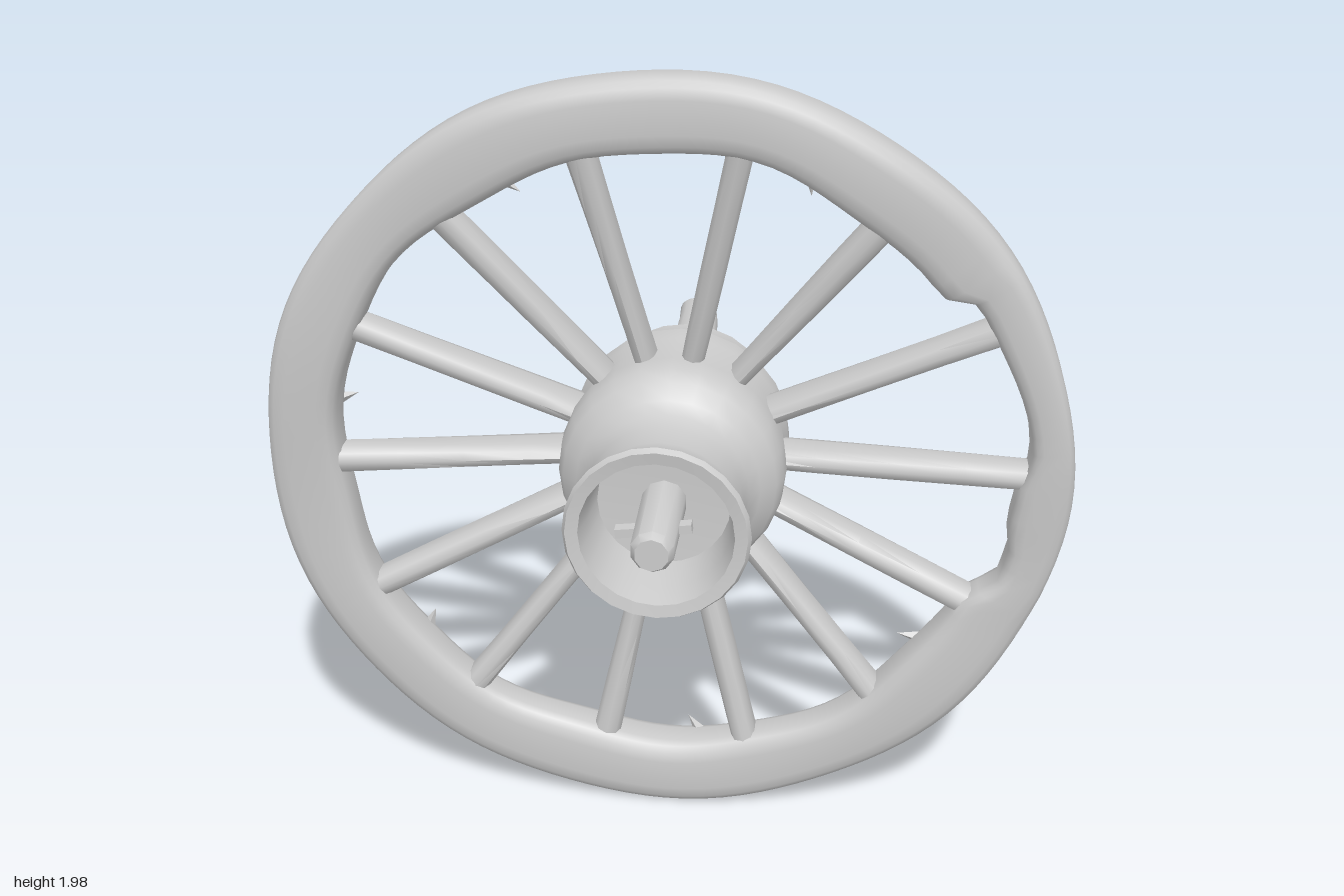
import * as THREE from 'three';
import { mergeVertices, toCreasedNormals } from 'three/addons/utils/BufferGeometryUtils.js';

const mat = new THREE.MeshStandardMaterial({ color: 0xcccccc, side: THREE.DoubleSide });
const rad = THREE.MathUtils.degToRad;
const smooth = THREE.MathUtils.smoothstep;

// Skin a row of rings; each ring runs counter-clockwise about the travel direction.
function loft(rings, closed = false) {
  const n = rings[0].length, m = rings.length;
  const pos = rings.flat().flatMap(p => [p.x, p.y, p.z]);
  const idx = [];
  for (let i = 0; i < (closed ? m : m - 1); i++) {
    const k = (i + 1) % m;
    for (let j = 0; j < n; j++) {
      const l = (j + 1) % n;
      const a = i * n + j, b = i * n + l, c = k * n + l, d = k * n + j;
      idx.push(a, b, c, a, c, d);
    }
  }
  if (!closed) {
    const e = (m - 1) * n;
    for (let j = 1; j < n - 1; j++) idx.push(0, j + 1, j, e, e + j, e + j + 1);
  }
  const g = new THREE.BufferGeometry();
  g.setAttribute('position', new THREE.Float32BufferAttribute(pos, 3));
  g.setIndex(idx);
  return g;
}

// Rounded-square outline with half sizes u and v
function section(u, v, n, power) {
  return Array.from({ length: n }, (_, j) => {
    const t = (j + 0.5) / n * Math.PI * 2, c = Math.cos(t), s = Math.sin(t);
    return [u * Math.sign(c) * Math.abs(c) ** power, v * Math.sign(s) * Math.abs(s) ** power];
  });
}

// Lumpy inner edge of the rim, worn thin on the +x side
function innerRadius(deg) {
  const a = rad(deg);
  const d = ((deg + 180) % 360 + 360) % 360 - 180;
  const worn = smooth(d, -23, -19) * (1 - smooth(d, 32, 37));
  const tooth = smooth(d, -11, -8) * (1 - smooth(d, 0, 4));
  return 0.812 + 0.008 * Math.sin(5 * a + 1) + 0.006 * Math.sin(11 * a) + 0.065 * worn - 0.02 * tooth;
}

// The rim leans forward at the top
const rimZ = (a) => 0.275 + 0.045 * Math.sin(a);

export function createModel() {
  const wheel = new THREE.Group();
  wheel.name = 'wagonWheel';
  const add = (name, geo, crease = 0.7, parent = wheel) => {
    geo.deleteAttribute('uv');
    geo.deleteAttribute('normal');
    const mesh = new THREE.Mesh(toCreasedNormals(mergeVertices(geo), crease), mat);
    mesh.name = name;
    parent.add(mesh);
    return mesh;
  };

  // Rim
  const rimRings = [];
  const SEG = 120;
  for (let i = 0; i < SEG; i++) {
    const deg = i / SEG * 360, a = rad(deg);
    const inner = innerRadius(deg);
    const outer = 0.993 + 0.004 * Math.sin(9 * a + 2);
    const half = 0.065 + 0.004 * Math.sin(7 * a + 0.5);
    rimRings.push(section(half, (outer - inner) / 2, 16, 0.5).map(([z, r]) => {
      const R = (outer + inner) / 2 + r;
      return new THREE.Vector3(R * Math.cos(a), 1 + R * Math.sin(a), rimZ(a) + z);
    }));
  }
  add('rim', loft(rimRings, true), 0.9);

  // Fourteen dished spokes, deep at the hub and wide at the rim
  const spokes = new THREE.Group();
  spokes.name = 'spokes';
  wheel.add(spokes);
  for (let i = 0; i < 14; i++) {
    const deg = 1 + i * 360 / 14, a = rad(deg);
    const r0 = 0.18, r1 = innerRadius(deg) + 0.04;
    const rings = [];
    for (let k = 0; k <= 4; k++) {
      const t = k / 4;
      const zc = THREE.MathUtils.lerp(0.175, rimZ(a), t);
      const w = 0.026 + 0.009 * t + 0.002 * Math.sin(i * 2.3 + k);
      const d = 0.07 - 0.02 * t;
      rings.push(section(w, d, 10, 0.75).map(([y, z]) =>
        new THREE.Vector3(r0 + (r1 - r0) * t, y, zc + z)));
    }
    const g = loft(rings).rotateZ(a).translate(0.01, 1, 0);
    add('spoke', g, 0.9, spokes);
  }

  // Turned hub with a hollow front mouth
  const lathe = (points, sides) => new THREE.LatheGeometry(
    points.map(p => new THREE.Vector2(...p)), sides).rotateX(Math.PI / 2).translate(0.02, 0.995, 0);
  add('hub', lathe([
    [0, -0.1], [0.235, -0.1], [0.24, 0.01], [0.255, 0.035], [0.278, 0.045], [0.28, 0.11],
    [0.272, 0.16], [0.282, 0.25], [0.278, 0.31], [0.262, 0.35], [0.225, 0.38], [0.2, 0.41],
    [0.19, 0.46], [0.188, 0.54], [0.2, 0.6], [0.22, 0.635], [0.212, 0.65],
    [0.182, 0.645], [0.17, 0.58], [0.16, 0.47], [0, 0.46],
  ], 24), 0.6);

  // Axle collar and front axle end
  add('axleCollar', lathe([[0, -0.14], [0.118, -0.14], [0.122, -0.09], [0, -0.09]], 16));
  add('axleEnd', lathe([[0.055, 0.44], [0.052, 0.72], [0.04, 0.74], [0, 0.74]], 10));
  add('linchPin', new THREE.BoxGeometry(0.18, 0.022, 0.03).rotateZ(0.12).translate(0.01, 0.99, 0.6));

  // Rear axle arm: z, centre x, centre y, half width, half height
  const arm = [
    [-0.745, -0.005, 1.035, 0.04, 0.03], [-0.73, -0.005, 1.025, 0.053, 0.042],
    [-0.67, 0, 1.01, 0.056, 0.055], [-0.45, 0.007, 1.01, 0.064, 0.064],
    [-0.28, 0.01, 1.01, 0.072, 0.072], [-0.1, 0.01, 1.01, 0.075, 0.078],
  ];
  add('axleArm', loft(arm.map(([z, x, y, w, h]) =>
    section(w, h, 16, 0.7).map(([u, v]) => new THREE.Vector3(x + u, y + v, z)))), 0.9);

  // Splinters on the inner edge of the rim
  for (const deg of [117, 65, 219, -38, 170, -85]) {
    const a = rad(deg), r = innerRadius(deg) - 0.008;
    const g = new THREE.ConeGeometry(0.018, 0.06, 4).rotateZ(a + Math.PI / 2 + 0.5)
      .translate(r * Math.cos(a), 1 + r * Math.sin(a), rimZ(a) - 0.04);
    add('splinter', g, 0.3);
  }
  return wheel;
}
